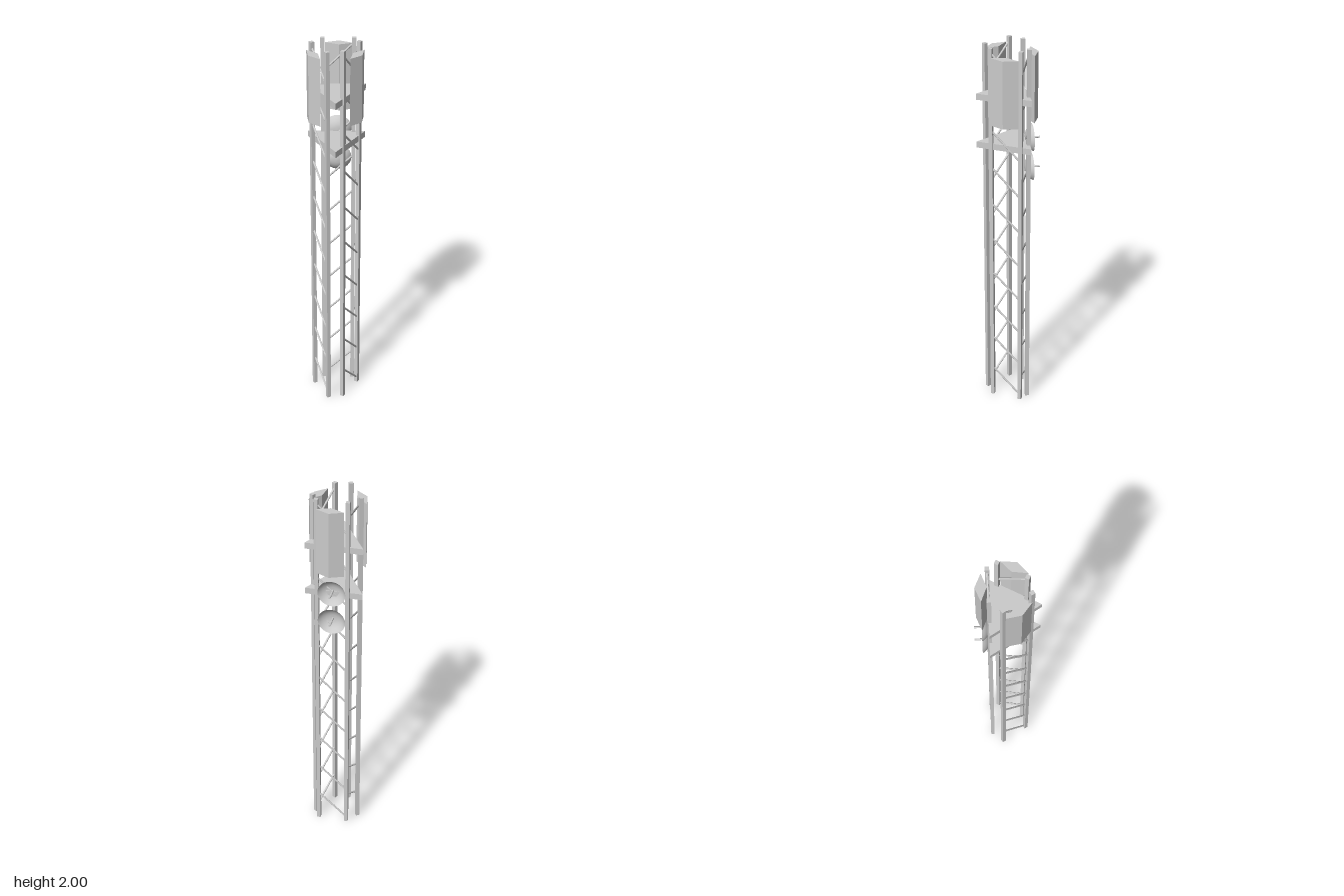
import * as THREE from 'three';

const grey = new THREE.MeshStandardMaterial({ color: 0xcccccc, flatShading: true });
const dishGrey = new THREE.MeshStandardMaterial({ color: 0xcccccc, side: THREE.DoubleSide });
const UP = new THREE.Vector3(0, 1, 0);

// Straight rod between two points
function rod(name, a, b, radius) {
  const dir = b.clone().sub(a);
  const mesh = new THREE.Mesh(new THREE.CylinderGeometry(radius, radius, dir.length(), 8), grey);
  mesh.name = name;
  mesh.position.copy(a).add(b).multiplyScalar(0.5);
  mesh.quaternion.setFromUnitVectors(UP, dir.normalize());
  return mesh;
}

// Upright prism over a plan outline of [x, z] corners
function prism(name, outline, y0, y1) {
  const shape = new THREE.Shape(outline.map(([x, z]) => new THREE.Vector2(x, -z)));
  const geo = new THREE.ExtrudeGeometry(shape, { depth: y1 - y0, bevelEnabled: false });
  geo.rotateX(-Math.PI / 2);
  const mesh = new THREE.Mesh(geo, grey);
  mesh.name = name;
  mesh.position.y = y0;
  return mesh;
}

// One lattice side: two square posts and a diagonal in each bay
function latticeFace(name, high, low) {
  const face = new THREE.Group();
  face.name = name;
  const angle = Math.atan2(-(low[1] - high[1]), low[0] - high[0]);
  for (const [x, z] of [high, low]) {
    const post = new THREE.Mesh(new THREE.BoxGeometry(0.02, 2, 0.02), grey);
    post.name = 'post';
    post.position.set(x, 1, z);
    post.rotation.y = angle;
    face.add(post);
  }
  for (let i = 0; i < 10; i++) {
    const y = i * 0.2;
    face.add(rod('diagonalBrace',
      new THREE.Vector3(high[0], y + 0.175, high[1]),
      new THREE.Vector3(low[0], y + 0.025, low[1]), 0.005));
  }
  return face;
}

// Bowl dish with a feed rod, opening along local +y
function dish(name, y) {
  const group = new THREE.Group();
  group.name = name;
  const profile = [[0, -0.037], [0.018, -0.036], [0.034, -0.032], [0.05, -0.023], [0.062, -0.011], [0.07, 0]]
    .map(([r, h]) => new THREE.Vector2(r, h));
  const bowl = new THREE.Mesh(new THREE.LatheGeometry(profile, 24), dishGrey);
  bowl.name = 'dishBowl';
  group.add(bowl);
  group.add(rod('dishFeed', new THREE.Vector3(0, -0.036, 0), new THREE.Vector3(0, 0.038, 0), 0.005));
  group.position.set(0.051, y, -0.097);
  group.quaternion.setFromUnitVectors(UP, new THREE.Vector3(0.52, 0, -0.854).normalize());
  return group;
}

export function createModel() {
  const tower = new THREE.Group();
  tower.name = 'latticeTower';

  // Three separate lattice sides around the axis
  tower.add(latticeFace('leftSideLattice', [-0.103, -0.077], [-0.103, 0.077]));
  tower.add(latticeFace('frontLattice', [-0.03, 0.103], [0.103, 0.026]));
  tower.add(latticeFace('backLattice', [0.103, -0.026], [-0.03, -0.103]));

  // Triangular platforms
  const triangle = [[0.155, 0], [-0.093, -0.144], [-0.093, 0.144]];
  tower.add(prism('lowerPlatform', triangle, 1.474, 1.506));
  tower.add(prism('upperPlatform', triangle, 1.728, 1.76));

  // Panel antennas with a diamond section
  const panels = {
    sidePanelAntenna: [[-0.157, -0.01], [-0.13, -0.08], [-0.104, -0.01], [-0.13, 0.06]],
    frontPanelAntenna: [[-0.003, 0.124], [0.07, 0.112], [0.115, 0.051], [0.045, 0.065]],
    backPanelAntenna: [[-0.003, -0.127], [0.07, -0.115], [0.113, -0.054], [0.043, -0.067]],
  };
  for (const [name, outline] of Object.entries(panels)) tower.add(prism(name, outline, 1.615, 1.962));

  // Dishes on the back side
  tower.add(dish('upperDish', 1.508));
  tower.add(dish('lowerDish', 1.347));
  return tower;
}
